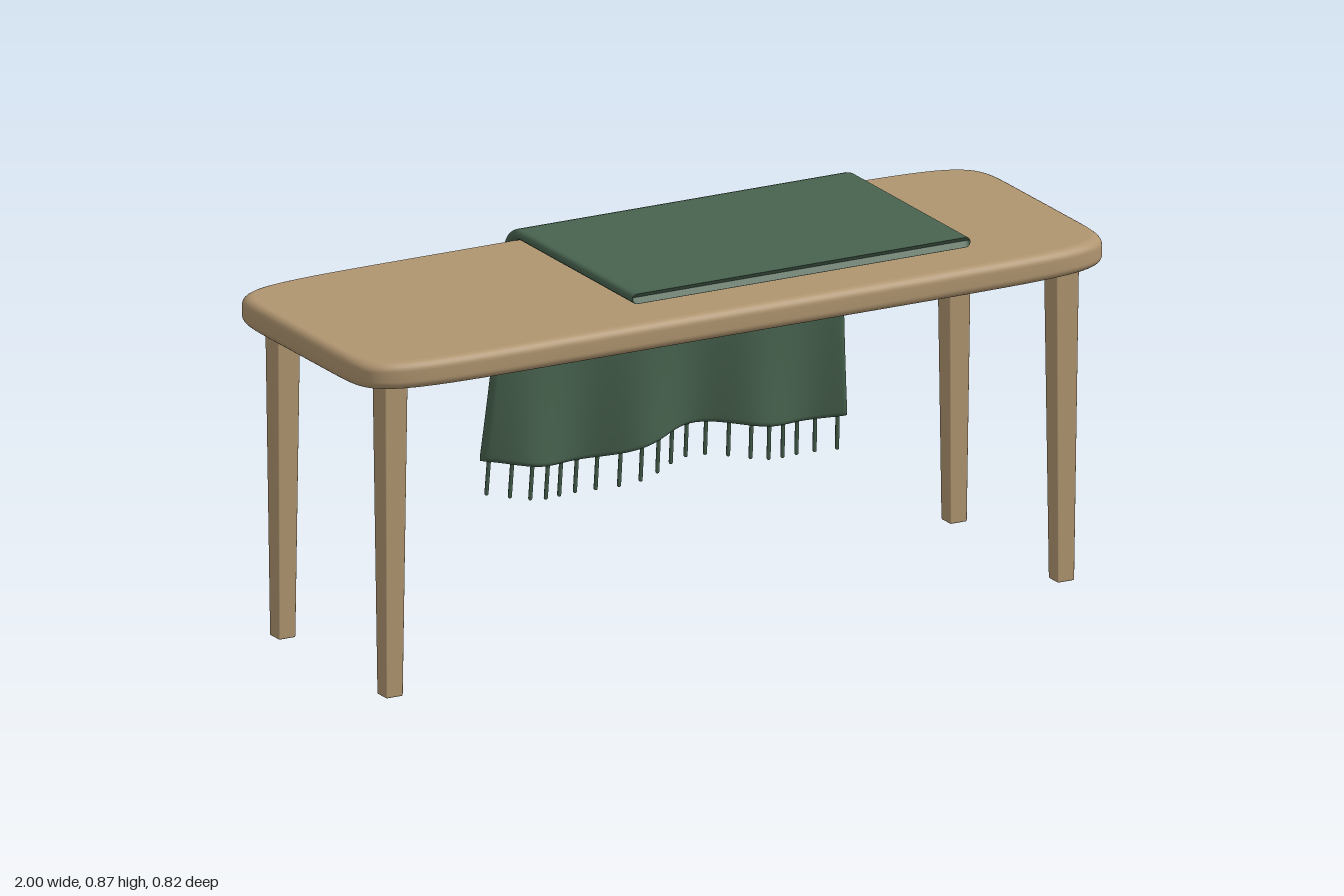
import * as THREE from 'three';
import { RoundedBoxGeometry } from 'three/addons/geometries/RoundedBoxGeometry.js';

// Skin a list of closed rings (each an array of [x, y, z]) with smooth normals.
function skin(rings) {
  const n = rings[0].length, index = [];
  for (let i = 0; i < rings.length - 1; i++) {
    for (let k = 0; k < n; k++) {
      const a = i * n + k, b = i * n + (k + 1) % n;
      index.push(a, b, a + n, b, b + n, a + n);
    }
  }
  const g = new THREE.BufferGeometry();
  g.setAttribute('position', new THREE.Float32BufferAttribute(rings.flat(2), 3));
  g.setIndex(index);
  g.computeVertexNormals();
  return g;
}

// Soft-cornered slab: superellipse outline with rounded top and bottom edges.
function tabletopGeometry() {
  const a = 1, b = 0.362, zc = 0.0475, y0 = 0.768, y1 = 0.836, r = 0.022, n = 9;
  const profile = [[b, y1], [0.06, y1]];
  for (let i = 0; i <= 6; i++) {
    const p = i / 6 * Math.PI / 2;
    profile.push([r * (1 - Math.sin(p)), y1 - r * (1 - Math.cos(p))]);
  }
  for (let i = 6; i >= 0; i--) {
    const p = i / 6 * Math.PI / 2;
    profile.push([r * (1 - Math.sin(p)), y0 + r * (1 - Math.cos(p))]);
  }
  profile.push([0.06, y0], [b, y0]);
  const soft = v => Math.sign(v) * Math.pow(Math.abs(v), 2 / n);
  return skin(profile.map(([inset, y]) => {
    const ring = [];
    for (let k = 0; k < 160; k++) {
      const t = k / 160 * Math.PI * 2;
      ring.push([(a - inset) * soft(Math.cos(t)), y, zc + (b - inset) * soft(Math.sin(t))]);
    }
    return ring;
  }));
}

// Square leg, narrower at the foot.
function legGeometry() {
  const h = 0.785, g = new RoundedBoxGeometry(0.062, h, 0.062, 2, 0.004);
  const p = g.attributes.position;
  for (let i = 0; i < p.count; i++) {
    const s = THREE.MathUtils.lerp(0.72, 1, p.getY(i) / h + 0.5);
    p.setXYZ(i, p.getX(i) * s, p.getY(i) + h / 2, p.getZ(i) * s);
  }
  return g;
}

// Throw: flat run, bend over the rear edge, then a rippled hanging part.
const THICK = 0.0125, BEND_Z = -0.265, BEND_Y = 0.79, BEND_R = 0.067;
const hemY = x => 0.257 - 0.021 * Math.cos(x * Math.PI * 2 / 0.62);
function hang(x, t) {
  const wave = 0.025 * Math.cos(x * Math.PI * 2 / 0.305);
  return [x, THREE.MathUtils.lerp(BEND_Y, hemY(x), t),
    BEND_Z - BEND_R - 0.044 * t - wave * Math.pow(t, 1.2)];
}
const clothX = (u, t) => 0.215 + 0.0025 * t + u * (0.438 + 0.032 * t);

function throwGeometry() {
  // Each row: centre line point as a function of x, normal, hang amount, thickness factor.
  const rows = [];
  const flat = (z, f) => rows.push({ at: x => [x, 0.8545 + 0.0025 * (0.28 - z) / 0.545, z], ny: 1, nz: 0, t: 0, f });
  for (let i = 0; i <= 5; i++) {
    const p = i / 5 * Math.PI / 2;
    flat(0.28 - THICK * (1 - Math.sin(p)), Math.sin(p));
  }
  for (let i = 1; i <= 10; i++) flat(THREE.MathUtils.lerp(0.268, BEND_Z, i / 10), 1);
  for (let i = 1; i <= 10; i++) {
    const p = i / 10 * Math.PI / 2, c = Math.cos(p), s = Math.sin(p);
    rows.push({ at: x => [x, BEND_Y + BEND_R * c, BEND_Z - BEND_R * s], ny: c, nz: -s, t: 0, f: 1 });
  }
  const drop = (t, f) => rows.push({ at: x => hang(x, t), ny: 0, nz: -1, t, f });
  for (let i = 1; i <= 24; i++) drop(i / 24 * 0.976, 1);
  for (let i = 1; i <= 5; i++) {
    const p = i / 5 * Math.PI / 2;
    drop(0.976 + 0.024 * Math.sin(p), Math.cos(p));
  }
  // Cross-section: long flat stadium.
  const section = [], N = 60;
  for (let i = 0; i <= N; i++) section.push([i / N * 2 - 1, 0, 1]);
  for (let i = 1; i < 6; i++) section.push([1, Math.sin(i / 6 * Math.PI), Math.cos(i / 6 * Math.PI)]);
  for (let i = N; i >= 0; i--) section.push([i / N * 2 - 1, 0, -1]);
  for (let i = 1; i < 6; i++) section.push([-1, -Math.sin(i / 6 * Math.PI), -Math.cos(i / 6 * Math.PI)]);
  return skin(rows.map(({ at, ny, nz, t, f }) => section.map(([u, dx, n]) => {
    const [x, y, z] = at(clothX(u, t) + dx * THICK);
    const d = n * THICK * f;
    return [x, y + ny * d, z + nz * d];
  })));
}

export function createModel() {
  const wood = new THREE.MeshStandardMaterial({ color: 0xb09570 });
  wood.name = 'wood';
  const green = new THREE.MeshStandardMaterial({ color: 0x48634f });
  green.name = 'greenWool';

  const model = new THREE.Group();
  model.name = 'tableWithThrow';
  const add = (name, geometry, material, parent = model) => {
    const mesh = new THREE.Mesh(geometry, material);
    mesh.name = name;
    parent.add(mesh);
    return mesh;
  };

  add('tabletop', tabletopGeometry(), wood);

  // Four legs
  const leg = legGeometry();
  for (const [side, x] of [['left', 0.895], ['right', -0.895]]) {
    add(side + 'FrontLeg', leg, wood).position.set(x, 0, 0.303);
    add(side + 'BackLeg', leg, wood).position.set(x, 0, -0.207);
  }

  add('throw', throwGeometry(), green);

  // Tassels along the hem
  const fringe = new THREE.Group();
  fringe.name = 'fringe';
  model.add(fringe);
  const count = 20;
  for (let i = 0; i < count; i++) {
    const u = (i / (count - 1) * 2 - 1) * 0.985;
    const [x, y, z] = hang(clothX(u, 1), 1);
    const top = new THREE.Vector3(x, y + 0.008, z);
    const end = new THREE.Vector3(x + 0.003 * u, y - 0.079, z - 0.007);
    const strand = new THREE.LineCurve3(top, end);
    add('tassel', new THREE.TubeGeometry(strand, 1, 0.005, 8), green, fringe);
    // Closed tip
    const tip = add('tasselTip', new THREE.SphereGeometry(0.005, 8, 6), green, fringe);
    tip.position.copy(end);
  }
  return model;
}
